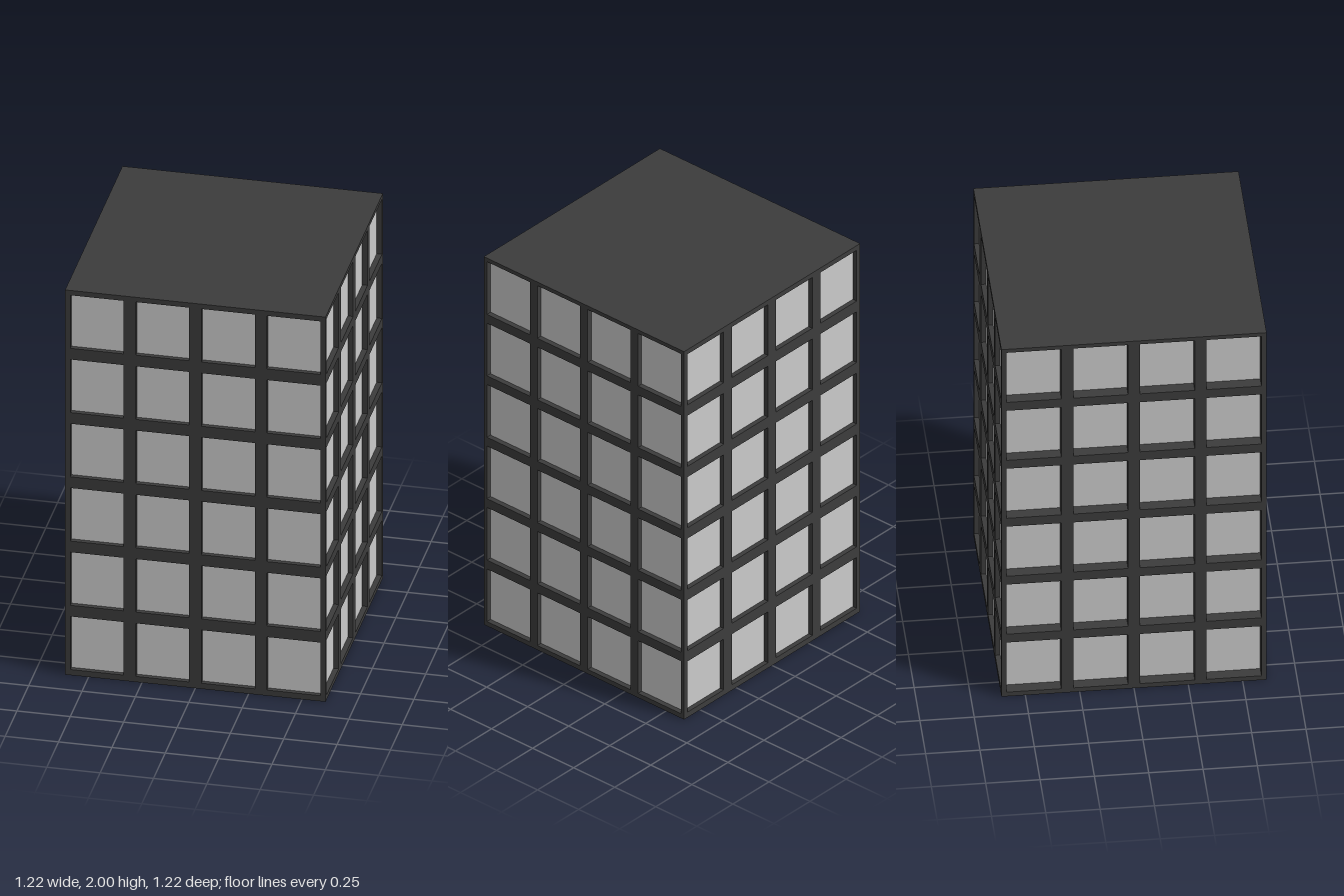
import * as THREE from 'three';

const HALF = 0.61, HEIGHT = 2, COLS = 4, ROWS = 6;

const frameMat = new THREE.MeshStandardMaterial({ color: 0x3c3c3c });
const revealMat = new THREE.MeshStandardMaterial({ color: 0x3c3c3c, side: THREE.BackSide, flatShading: true });
const paneMat = new THREE.MeshStandardMaterial({ color: 0xcccccc });

function add(parent, name, geometry, material, x = 0, y = 0, z = 0) {
  const mesh = new THREE.Mesh(geometry, material);
  mesh.name = name;
  mesh.position.set(x, y, z);
  parent.add(mesh);
  return mesh;
}

// One wall: a flat grid with openings, each with a reveal and a set-back pane
function facade(name, w, h, depth) {
  const group = new THREE.Group();
  group.name = name;
  const wall = new THREE.Shape([
    new THREE.Vector2(-HALF, 0), new THREE.Vector2(HALF, 0),
    new THREE.Vector2(HALF, HEIGHT), new THREE.Vector2(-HALF, HEIGHT),
  ]);

  // Square tube without ends, seen from inside
  const reveal = new THREE.CylinderGeometry(Math.SQRT1_2, Math.SQRT1_2, 1, 4, 1, true, Math.PI / 4);
  reveal.rotateX(Math.PI / 2).scale(w, h, depth);
  const pane = new THREE.PlaneGeometry(w, h);

  for (let row = 0; row < ROWS; row++) {
    for (let col = 0; col < COLS; col++) {
      const x = (col - (COLS - 1) / 2) * 0.307;
      const y = 1.002 + (row - (ROWS - 1) / 2) * 0.334;
      const l = x - w / 2, r = x + w / 2, b = y - h / 2, t = y + h / 2;
      wall.holes.push(new THREE.Path([
        new THREE.Vector2(l, b), new THREE.Vector2(l, t),
        new THREE.Vector2(r, t), new THREE.Vector2(r, b),
      ]));
      add(group, 'windowReveal', reveal, revealMat, x, y, HALF - depth / 2);
      add(group, 'windowPane', pane, paneMat, x, y, HALF - depth);
    }
  }
  add(group, 'wallGrid', new THREE.ShapeGeometry(wall), frameMat, 0, 0, HALF);
  return group;
}

export function createModel() {
  const model = new THREE.Group();
  model.name = 'towerBlock';

  // Walls: opening width, opening height, pane depth
  const walls = [
    ['frontWall', 0.25, 0.276, 0.022],
    ['rightWall', 0.261, 0.286, 0.025],
    ['backWall', 0.25, 0.276, 0.023],
    ['leftWall', 0.252, 0.286, 0.055],
  ];
  walls.forEach(([name, w, h, depth], i) => {
    const wall = facade(name, w, h, depth);
    wall.rotation.y = i * Math.PI / 2;
    model.add(wall);
  });

  // Flat roof and underside
  const slab = new THREE.PlaneGeometry(2 * HALF, 2 * HALF);
  add(model, 'roof', slab, frameMat, 0, HEIGHT).rotation.x = -Math.PI / 2;
  add(model, 'base', slab, frameMat).rotation.x = Math.PI / 2;
  return model;
}
